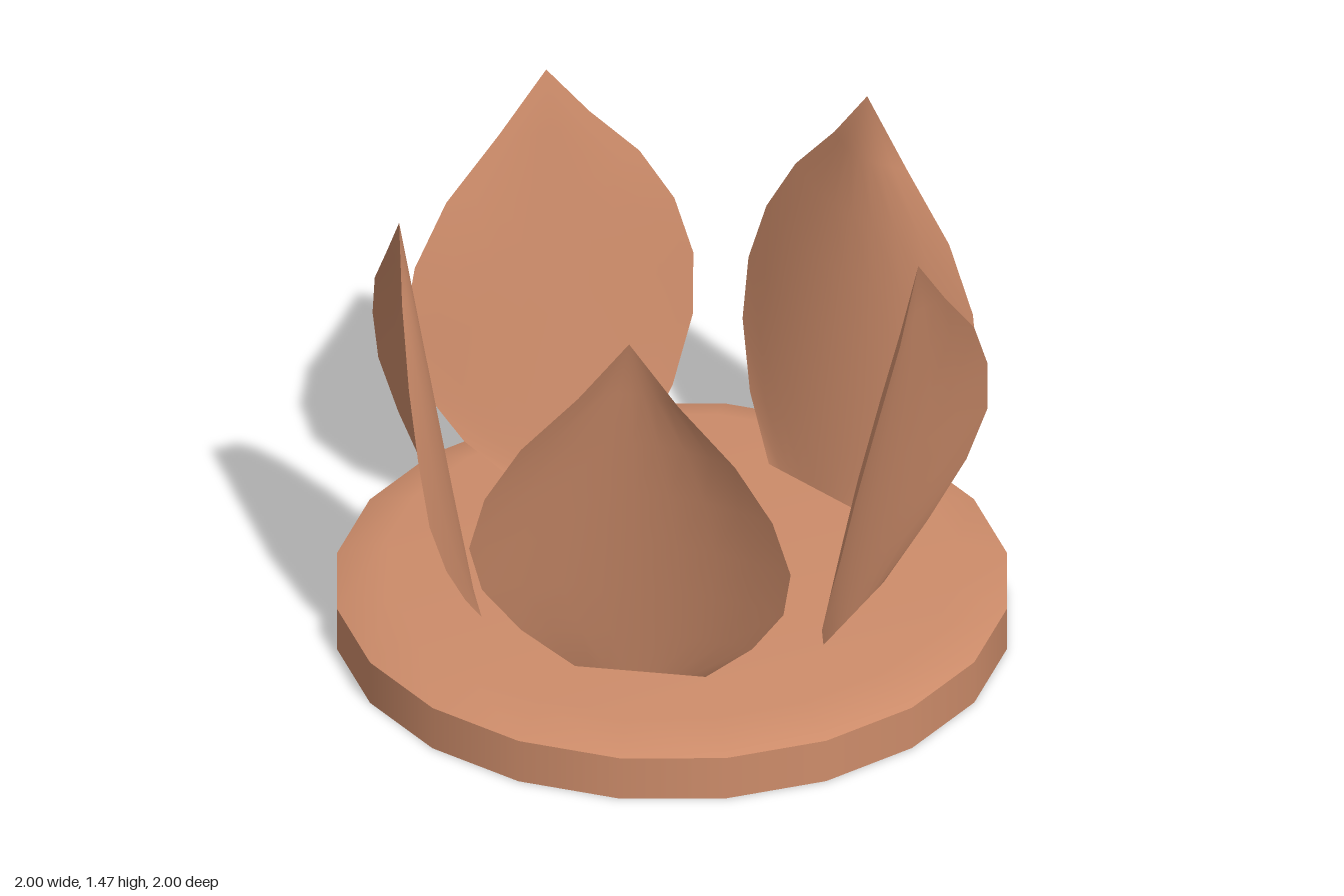
import * as THREE from 'three';
import { mergeVertices } from 'three/addons/utils/BufferGeometryUtils.js';

const clay = new THREE.MeshStandardMaterial({ color: 0xcd8c6a, side: THREE.DoubleSide });
clay.name = 'clay';

// Petal rows from tip to base: height, half width, outward curl of the edges
const ROWS = [
  [1.465, 0, 0], [1.27, 0.15, 0.048], [1.08, 0.32, 0.087], [0.89, 0.43, 0.108],
  [0.7, 0.48, 0.115], [0.525, 0.45, 0.09], [0.35, 0.345, 0.045], [0.195, 0.195, 0],
];

// Thin leaning petal facing +z, its sides curling outward
function petalGeometry() {
  const cols = 8;
  const geo = new THREE.PlaneGeometry(2, 1, cols, ROWS.length - 1);
  const pos = geo.attributes.position;
  for (let i = 0; i < pos.count; i++) {
    const u = pos.getX(i);
    const [y, halfWidth, curl] = ROWS[Math.floor(i / (cols + 1))];
    const lean = 0.6 + 0.215 * (y - 0.195) / 1.27;
    pos.setXYZ(i, u * halfWidth, y, lean + curl * u * u);
  }
  geo.deleteAttribute('uv');
  geo.deleteAttribute('normal');
  const merged = mergeVertices(geo);
  merged.computeVertexNormals();
  return merged;
}

// Twenty-sided turned surface
function turned(name, points) {
  const profile = points.map(([r, y]) => new THREE.Vector2(r, y));
  const mesh = new THREE.Mesh(new THREE.LatheGeometry(profile, 20), clay);
  mesh.name = name;
  return mesh;
}

export function createModel() {
  const group = new THREE.Group();
  group.name = 'petalHolder';

  // Round base with a bevelled top
  const base = new THREE.Group();
  base.name = 'base';
  base.add(
    turned('baseUnderside', [[0, 0], [1, 0]]),
    turned('baseRim', [[1, 0], [1, 0.14]]),
    turned('baseTop', [[1, 0.14], [0.85, 0.195], [0, 0.195]]),
  );
  group.add(base);

  // Ring of five petals
  const geo = petalGeometry();
  for (let i = 0; i < 5; i++) {
    const petal = new THREE.Mesh(geo, clay);
    petal.name = `petal${i + 1}`;
    petal.rotation.y = Math.PI / 2 + (i * Math.PI * 2) / 5;
    group.add(petal);
  }
  return group;
}
